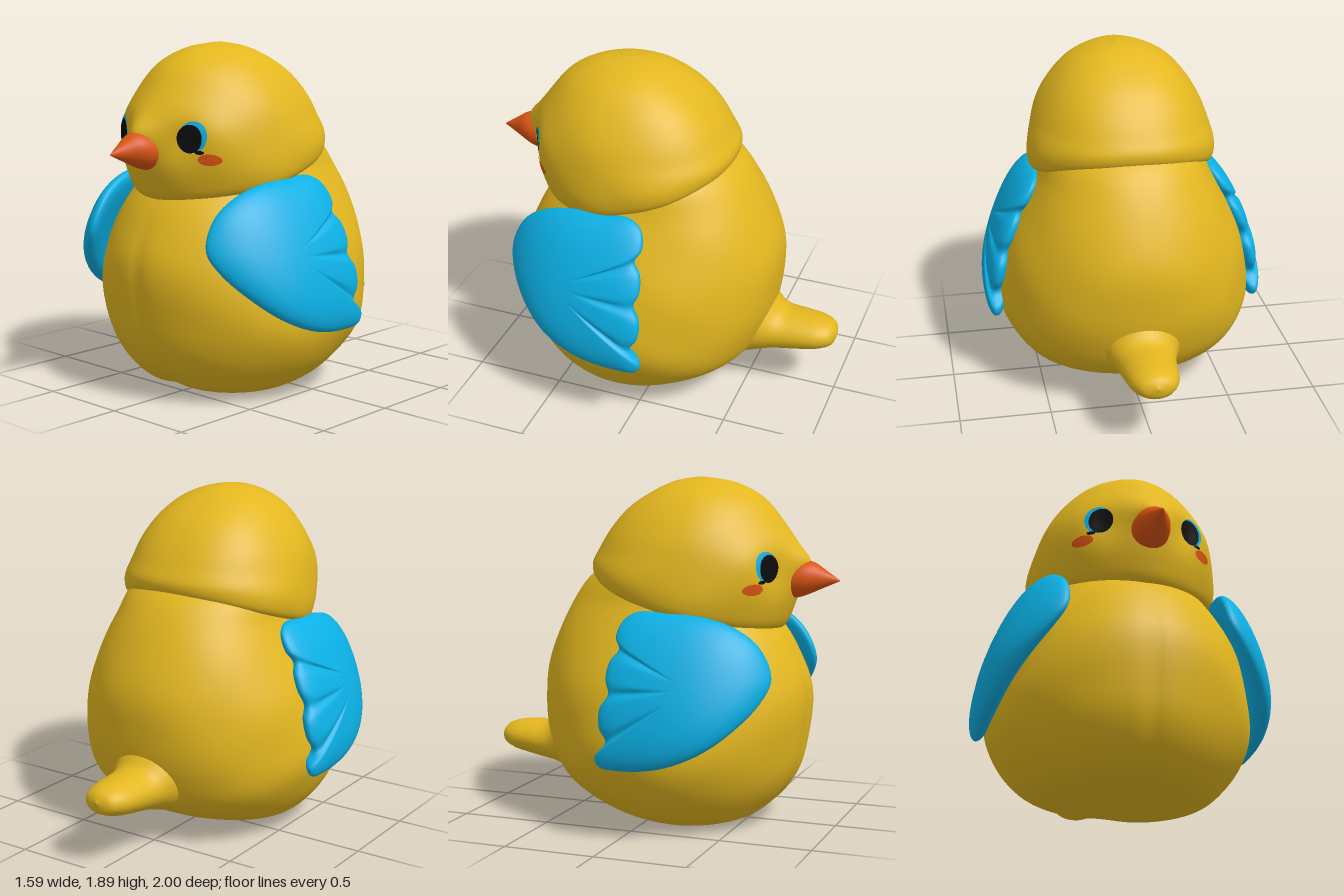
import * as THREE from 'three';

const mat = (name, color) => {
  const m = new THREE.MeshStandardMaterial({ color });
  m.name = name;
  return m;
};

// Smooth surface from a rule: u runs 0..1 along, v runs 0..1 around (closed)
function grid(nu, nv, rule, flip = false) {
  const pos = [], index = [];
  for (let i = 0; i <= nu; i++)
    for (let j = 0; j < nv; j++) pos.push(...rule(i / nu, j / nv).toArray());
  for (let i = 0; i < nu; i++)
    for (let j = 0; j < nv; j++) {
      const k = (j + 1) % nv;
      const a = i * nv + j, b = i * nv + k, c = a + nv, d = b + nv;
      if (flip) index.push(a, c, b, b, c, d);
      else index.push(a, b, c, b, d, c);
    }
  const g = new THREE.BufferGeometry();
  g.setAttribute('position', new THREE.Float32BufferAttribute(pos, 3));
  g.setIndex(index);
  g.computeVertexNormals();
  return g;
}

// Loft of rounded sections; each row is [z1, y1, z2, y2, halfWidth],
// the two ends of the section in the middle plane and its half width
function loft(rows, nu, nv, n1 = 2, n2 = 2, deform = (p) => p) {
  const curve = (f) => new THREE.CatmullRomCurve3(rows.map(f));
  const first = curve((r) => new THREE.Vector3(0, r[1], r[0]));
  const second = curve((r) => new THREE.Vector3(0, r[3], r[2]));
  const width = curve((r) => new THREE.Vector3(r[4], (r[1] + r[3]) / 2, (r[0] + r[2]) / 2));
  return grid(nu, nv, (u, v) => {
    const a = first.getPoint(u), b = second.getPoint(u), w = Math.max(0, width.getPoint(u).x);
    const c = Math.cos(v * Math.PI * 2), s = Math.sin(v * Math.PI * 2);
    const e = 2 / (c > 0 ? n1 : n2);
    const k = Math.sign(c) * Math.abs(c) ** e;
    const p = a.clone().add(b).multiplyScalar(0.5).addScaledVector(a.sub(b), k / 2);
    p.x = Math.abs(s) < 1e-6 ? 0 : w * Math.sign(s) * Math.abs(s) ** e;
    return deform(p);
  });
}

const bump = (d, r) => Math.exp(-((d / r) ** 2));

// Gentle hand-modelled unevenness, the same on both sides
function lumps(p, amount) {
  const x = Math.abs(p.x);
  const k = Math.sin(9 * p.y + 4 * x) * Math.sin(8 * p.z + 3 * x) + 0.6 * Math.sin(15 * p.y - 11 * p.z);
  p.x *= 1 + amount * k;
  p.z += (p.z - 0.1) * amount * k;
  return p;
}

// Body with a soft seam down the belly and a cleft underneath
function bodyShape(p) {
  if (p.z > 0.3) p.z -= 0.02 * bump(p.x, 0.04) * bump(p.y - 0.45, 0.4);
  p.y += 0.02 * bump(p.x, 0.1) * bump(p.y, 0.1);
  return lumps(p, 0.006);
}

// Head with eye sockets, a muzzle above the beak and a rim dipping at the sides
function headShape(p) {
  const x = Math.abs(p.x);
  if (p.z > 0.3) {
    const socket = 0.9 * bump(Math.hypot(x - 0.25, p.y - 1.4), 0.13);
    p.z += (0.665 - 0.4 * (x - 0.245) - p.z) * socket;
    p.z += 0.05 * bump(Math.hypot(x, p.y - 1.43), 0.08);
  }
  p.y -= 0.03 * (x / 0.5) ** 2 * (1 - THREE.MathUtils.smoothstep(p.y, 1.25, 1.45));
  return lumps(p, 0.007);
}

// Wing outline as [z, y], front edge over the top to the scalloped feather tips
const WING = [
  [0.76, 0.86], [0.69, 1.02], [0.56, 1.12], [0.4, 1.17], [0.2, 1.185], [0.04, 1.185],
  [-0.03, 1.14], [-0.05, 1.06], [-0.02, 1.0], [-0.06, 0.94], [-0.07, 0.85], [-0.045, 0.775],
  [-0.085, 0.7], [-0.08, 0.6], [-0.04, 0.53], [-0.1, 0.45], [-0.08, 0.4], [0.05, 0.385],
  [0.25, 0.41], [0.45, 0.49], [0.6, 0.6], [0.72, 0.74],
];
const NOTCHES = [8, 11, 14].map((i) => i / WING.length);

function wing(side) {
  const outline = new THREE.CatmullRomCurve3(WING.map(([z, y]) => new THREE.Vector3(0, y, z)), true);
  const centre = new THREE.Vector3(0, 0.83, 0.42);
  return grid(32, 132, (u, v) => {
    const r = u === 0 || u === 1 ? 0 : Math.sin(u * Math.PI);
    const p = centre.clone().lerp(outline.getPoint(v), r);
    const outer = u <= 0.5;
    let h = (outer ? 0.062 : -0.08) * Math.sqrt(Math.max(0, 1 - r ** 5));
    // grooves between the feathers
    if (outer) for (const n of NOTCHES) h -= 0.018 * bump(v - n, 0.015) * THREE.MathUtils.smoothstep(r, 0.2, 0.8) * (1 - r ** 8);
    // follow the swell of the body
    const curl = 0.2 * (Math.max(0, p.z - 0.1) / 0.65) ** 3;
    p.x = side * (0.745 - 0.43 * (p.y - 0.42) ** 2 - curl + h);
    return p;
  }, side < 0);
}

// Thin oval laid onto the face
function patch(face, side, x, y, rx, ry, lift) {
  const ray = new THREE.Raycaster();
  return grid(6, 28, (u, v) => {
    const a = v * Math.PI * 2;
    const o = new THREE.Vector3(side * x + u * rx * Math.cos(a), y + u * ry * Math.sin(a), 2);
    ray.set(o, new THREE.Vector3(0, 0, -1));
    const hit = ray.intersectObject(face)[0];
    return hit.point.addScaledVector(hit.face.normal, lift);
  }, true);
}

export function createModel() {
  const model = new THREE.Group();
  const yellow = mat('yellow', 0xe3b71f), blue = mat('blue', 0x0bb0e5);
  const orange = mat('orange', 0xdb5512), black = mat('black', 0x0c0c0e);
  const add = (name, geometry, material) => {
    const m = new THREE.Mesh(geometry, material);
    m.name = name;
    model.add(m);
    return m;
  };

  // Body, as front z, back z and half width at each height
  const body = [
    [0, 0.25, 0.15, 0], [0.0, 0.42, 0, 0.28], [0.05, 0.58, -0.2, 0.45], [0.15, 0.69, -0.42, 0.57],
    [0.28, 0.77, -0.55, 0.66], [0.42, 0.815, -0.61, 0.71], [0.6, 0.84, -0.645, 0.705], [0.8, 0.82, -0.645, 0.665],
    [1.0, 0.73, -0.595, 0.58], [1.2, 0.58, -0.505, 0.475], [1.35, 0.45, -0.39, 0.41], [1.47, 0.3, -0.2, 0.25], [1.5, 0.1, 0.05, 0],
  ].map(([y, f, b, w]) => [f, y, b, y, w]);
  add('body', loft(body, 64, 112, 2, 2.1, bodyShape), yellow);

  // Head, sloping down from the nape to the throat
  const head = add('head', loft([
    [0.3, 1.2, 0.1, 1.3, 0], [0.5, 1.09, -0.2, 1.36, 0.36], [0.67, 1.07, -0.355, 1.355, 0.49],
    [0.74, 1.18, -0.375, 1.415, 0.52], [0.795, 1.39, -0.335, 1.5, 0.49], [0.765, 1.51, -0.265, 1.61, 0.45],
    [0.68, 1.65, -0.165, 1.72, 0.375], [0.56, 1.775, -0.03, 1.81, 0.27], [0.42, 1.85, 0.08, 1.86, 0.14], [0.24, 1.882, 0.2, 1.882, 0],
  ], 64, 96, 1.8, 2.3, headShape), yellow);
  head.updateMatrixWorld();

  // Tail, top and bottom edges from root to tip
  add('tail', loft([
    [-0.45, 0.6, -0.25, 0.17, 0.26], [-0.6, 0.56, -0.46, 0.175, 0.215], [-0.68, 0.48, -0.64, 0.23, 0.165], [-0.8, 0.465, -0.8, 0.26, 0.146],
    [-0.9, 0.455, -0.91, 0.285, 0.128], [-0.97, 0.43, -0.98, 0.32, 0.085], [-1, 0.385, -1, 0.38, 0],
  ], 28, 32), yellow);

  // Beak, bottom and top edges from root to tip
  add('beak', loft([
    [0.7, 1.23, 0.72, 1.44, 0.105], [0.79, 1.245, 0.85, 1.435, 0.095],
    [0.91, 1.295, 0.925, 1.39, 0.045], [1, 1.335, 1, 1.34, 0],
  ], 16, 32), orange);

  // Paired parts
  for (const [word, side] of [['left', 1], ['right', -1]]) {
    add(word + 'Wing', wing(side), blue);
    add(word + 'EyeRim', patch(head, side, 0.258, 1.42, 0.066, 0.08, 0.004), blue);
    add(word + 'Pupil', patch(head, side, 0.243, 1.41, 0.06, 0.073, 0.008), black);
    add(word + 'Lash', patch(head, side, 0.29, 1.342, 0.022, 0.01, 0.008), black);
    add(word + 'Cheek', patch(head, side, 0.328, 1.305, 0.048, 0.03, 0.005), orange);
  }
  return model;
}
